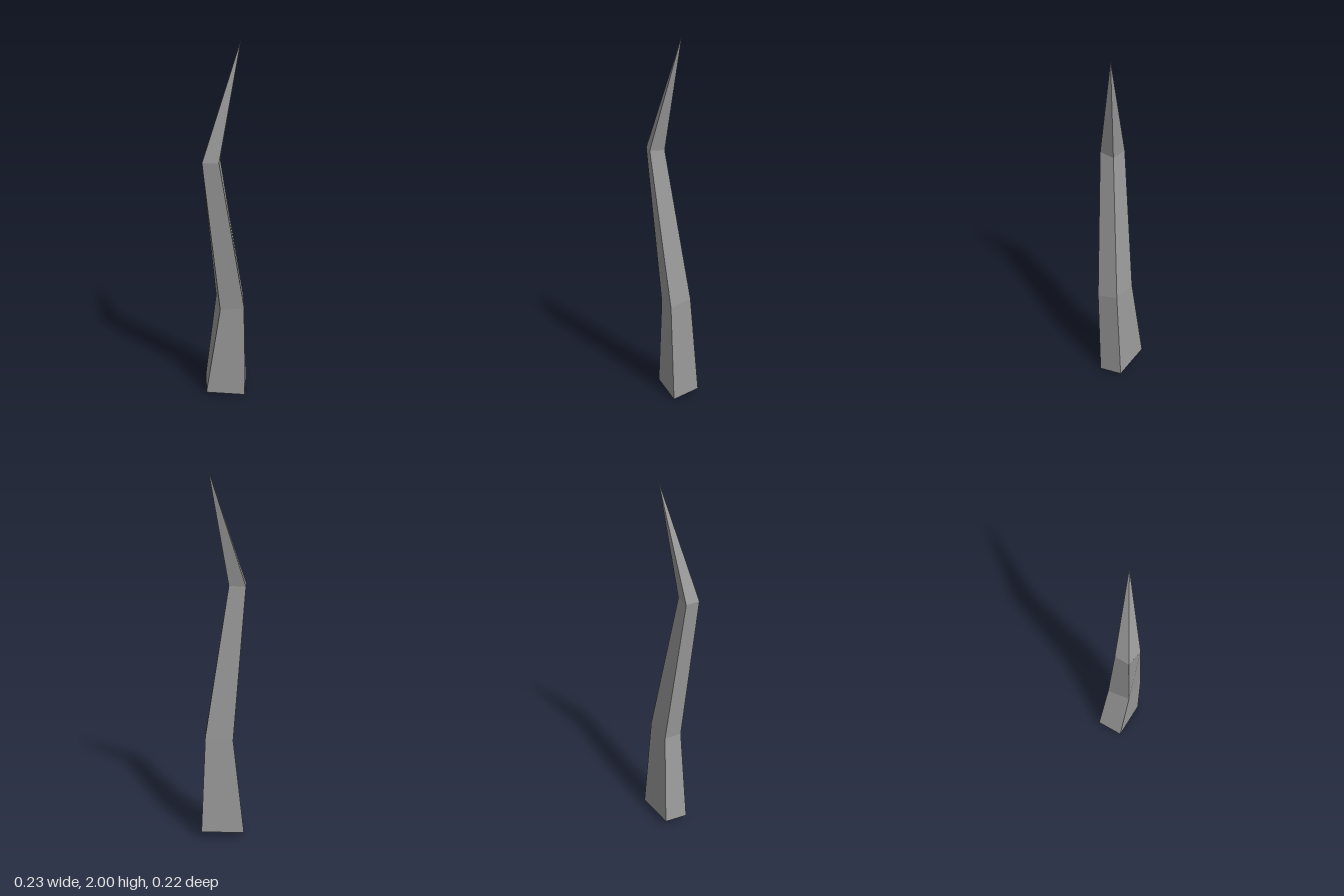
import * as THREE from 'three';

export function createModel() {
  // Four-sided rings, each ordered front-left, front-right, back-right, back-left
  const rings = [
    [[-0.1, 0.012, 0.04], [0.117, 0, 0.03], [0.117, 0.04, -0.113], [-0.117, 0.045, -0.107]],
    [[-0.02, 0.545, 0.05], [0.11, 0.56, 0.045], [0.097, 0.59, -0.072], [-0.053, 0.575, -0.072]],
    [[-0.107, 1.4, 0.101], [-0.02, 1.405, 0.112], [-0.02, 1.4, 0.03], [-0.11, 1.4, 0.021]],
  ];
  const tip = [0.079, 2, -0.024];
  const positions = [];
  const normals = [];

  // Adds a triangle or quad with one normal, taken across its diagonals
  const face = (a, b, c, d) => {
    const [va, vb, vc, vd] = [a, b, c, d ?? a].map((p) => new THREE.Vector3(...p));
    const normal = vc.sub(va).cross(vd.sub(vb)).normalize().toArray();
    const corners = d ? [a, b, c, a, c, d] : [a, b, c];
    for (const corner of corners) {
      positions.push(...corner);
      normals.push(...normal);
    }
  };

  // Bent shaft
  for (let r = 0; r < rings.length - 1; r++) {
    const low = rings[r], high = rings[r + 1];
    for (let i = 0; i < 4; i++) {
      const j = (i + 1) % 4;
      face(low[i], low[j], high[j], high[i]);
    }
  }

  // Pointed end
  const top = rings[rings.length - 1];
  for (let i = 0; i < 4; i++) face(top[i], top[(i + 1) % 4], tip);

  // Base cap
  const [fl, fr, br, bl] = rings[0];
  face(fl, bl, br, fr);

  const geometry = new THREE.BufferGeometry();
  geometry.setAttribute('position', new THREE.Float32BufferAttribute(positions, 3));
  geometry.setAttribute('normal', new THREE.Float32BufferAttribute(normals, 3));

  const spike = new THREE.Mesh(geometry, new THREE.MeshStandardMaterial({ color: 0x9a9a9a }));
  spike.name = 'bentSpike';

  const group = new THREE.Group();
  group.name = 'spike';
  group.add(spike);
  return group;
}
